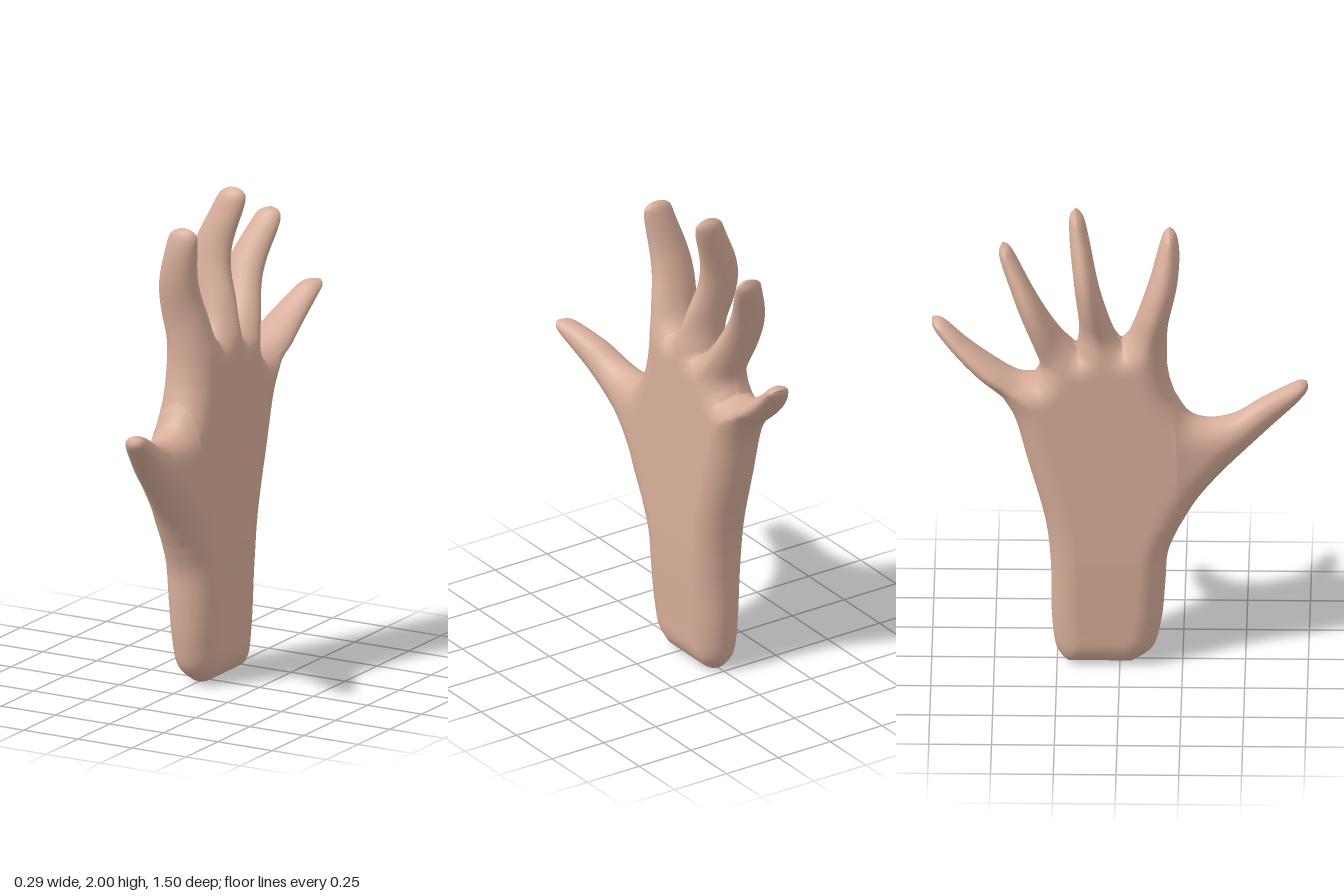
import * as THREE from 'three';
import { mergeVertices } from 'three/addons/utils/BufferGeometryUtils.js';

const COLS = 16, ROWS = 32;      // grid across and along each finger
const ROUND = 0.11, THICK = 0.115; // edge rounding and half thickness of the palm

const lerp = THREE.MathUtils.lerp, smooth = THREE.MathUtils.smoothstep;
const column = (j) => 0.5 - 0.5 * Math.cos((Math.PI * j) / COLS); // denser at both sides
const curve = (pts) => new THREE.CatmullRomCurve3(pts.map(([z, y]) => new THREE.Vector3(0, y, z)));
const point = ([z, y]) => new THREE.Vector3(0, y, z);

// Knuckle line: outer index, three webs, outer little finger (z, y)
const knuckles = [[0.186, 1.34], [0.005, 1.432], [-0.175, 1.41], [-0.345, 1.277], [-0.47, 1.183]];
const thumbLow = [0.235, 0.6], thumbHigh = [0.22, 1.19];

// Each digit: its two side lines from root to tip, tip offset in x, backward dip, tip half thickness
const digits = [
  { // index
    a: [knuckles[0], [0.19, 1.5], [0.23, 1.71], [0.234, 1.85], [0.218, 1.905], [0.196, 1.92]],
    b: [knuckles[1], [0.03, 1.46], [0.11, 1.69], [0.158, 1.86], [0.175, 1.905], [0.196, 1.92]],
    tip: 0.02, dip: 0.03, thin: 0.06,
  },
  { // middle
    a: [knuckles[1], [-0.02, 1.47], [-0.075, 1.66], [-0.127, 1.9], [-0.15, 1.975], [-0.178, 2]],
    b: [knuckles[2], [-0.163, 1.48], [-0.182, 1.7], [-0.202, 1.9], [-0.2, 1.975], [-0.178, 2]],
    tip: 0.03, dip: 0.06, thin: 0.06,
  },
  { // ring
    a: [knuckles[2], [-0.233, 1.475], [-0.34, 1.66], [-0.425, 1.81], [-0.445, 1.836], [-0.471, 1.845]],
    b: [knuckles[3], [-0.319, 1.32], [-0.34, 1.4], [-0.435, 1.66], [-0.483, 1.81], [-0.471, 1.845]],
    tip: 0.03, dip: 0.04, thin: 0.055,
  },
  { // little
    a: [knuckles[3], [-0.39, 1.278], [-0.446, 1.3], [-0.605, 1.405], [-0.715, 1.487], [-0.75, 1.485]],
    b: [knuckles[4], [-0.605, 1.3], [-0.69, 1.385], [-0.737, 1.438], [-0.75, 1.46], [-0.75, 1.485]],
    tip: 0.08, dip: 0, thin: 0.045,
  },
  { // thumb
    a: [thumbLow, [0.31, 0.73], [0.425, 0.865], [0.58, 1.01], [0.715, 1.125], [0.747, 1.165], [0.742, 1.19]],
    b: [thumbHigh, [0.28, 1.1], [0.35, 1.077], [0.456, 1.093], [0.56, 1.146], [0.69, 1.192], [0.72, 1.198], [0.742, 1.19]],
    tip: 0.115, dip: 0.01, thin: 0.042,
  },
];

// Samples a side line, with closer rows towards the tip
function side(pts) {
  const c = curve(pts);
  return Array.from({ length: ROWS + 1 }, (_, i) => c.getPointAt(1 - Math.pow(1 - i / ROWS, 1.6)));
}

// Flat grid of a digit, each node carrying its rounding, thickness and bend
function digitGrid({ a, b, tip, dip, thin }, outline) {
  const A = side(a), B = side(b);
  outline.push(A, B);
  return A.map((p, i) => {
    const v = 1 - Math.pow(1 - i / ROWS, 1.6);
    const half = THREE.MathUtils.clamp(p.distanceTo(B[i]) / 2, 0.035, ROUND);
    const round = lerp(ROUND, half, smooth(v, 0, 0.3));
    const bend = tip * v * v - dip * Math.sin(Math.PI * v) ** 2;
    return Array.from({ length: COLS + 1 }, (_, j) => ({
      p: p.clone().lerp(B[i], column(j)), round, thick: lerp(THICK, thin, v), bend,
    }));
  });
}

// Flat grid of wrist and palm, filled in between its four borders
function palmGrid(outline) {
  const lower = curve([[0.05, 0], [0.13, 0.06], [0.165, 0.18], [0.18, 0.34], [0.192, 0.49], thumbLow]);
  const upper = curve([thumbHigh, [0.198, 1.26], knuckles[0]]);
  const right = curve([[-0.21, 0], [-0.25, 0.05], [-0.27, 0.175], [-0.276, 0.44], [-0.297, 0.626],
    [-0.366, 0.89], [-0.424, 1.1], knuckles[4]]);
  const low = Array.from({ length: 25 }, (_, i) => lower.getPointAt(Math.pow(i / 24, 1.6)));
  const high = Array.from({ length: 9 }, (_, i) => upper.getPointAt(i / 8));
  const root = Array.from({ length: COLS - 1 }, (_, j) => point(thumbLow).lerp(point(thumbHigh), column(j + 1)));
  const L = [...low, ...root, ...high];
  const vs = L.map((p) => p.y / knuckles[0][1]);
  const R = vs.map((v) => right.getPointAt(Math.min(v, 1)));

  const ts = [0], top = [point(knuckles[0])];
  for (let f = 0; f < 4; f++) {
    for (let j = 1; j <= COLS; j++) {
      ts.push((f + column(j)) / 4);
      top.push(point(knuckles[f]).lerp(point(knuckles[f + 1]), column(j)));
    }
  }
  const end = L.length - 1, last = ts.length - 1;
  outline.push(low, high, R, [L[0], R[0]]);

  return L.map((l, i) => ts.map((t, j) => {
    const v = vs[i];
    const blend = (k) => {
      const across = lerp(l[k], R[i][k], t);
      const along = lerp(lerp(L[0][k], R[0][k], t), top[j][k], v);
      const corners = lerp(lerp(L[0][k], R[0][k], t), lerp(L[end][k], R[end][k], t), v);
      return across + along - corners;
    };
    const p = j === 0 ? l.clone() : j === last ? R[i].clone() : i === end ? top[j].clone()
      : new THREE.Vector3(0, blend('y'), blend('z'));
    return { p, round: ROUND, thick: lerp(0.097, THICK, smooth(p.y, 0, 0.55)), bend: 0 };
  }));
}

// Distance from a flat point to the nearest border line
function borderDistance(p, outline) {
  let best = Infinity;
  for (const line of outline) {
    for (let i = 1; i < line.length; i++) {
      const a = line[i - 1], b = line[i];
      const dy = b.y - a.y, dz = b.z - a.z;
      const len = dy * dy + dz * dz || 1;
      const t = Math.min(1, Math.max(0, ((p.y - a.y) * dy + (p.z - a.z) * dz) / len));
      best = Math.min(best, (p.y - a.y - t * dy) ** 2 + (p.z - a.z - t * dz) ** 2);
    }
  }
  return Math.sqrt(best);
}

export function createModel() {
  const group = new THREE.Group();
  group.name = 'openHand';
  const skin = new THREE.MeshStandardMaterial({ color: 0xd8ae9a });
  skin.name = 'skin';

  const outline = [];
  const grids = digits.map((d) => digitGrid(d, outline));
  grids.push(palmGrid(outline));

  // Puff every flat grid out to both sides, rounding towards the border
  const positions = [], index = [];
  for (const grid of grids) {
    const width = grid[0].length;
    for (const dir of [1, -1]) {
      const start = positions.length / 3;
      for (const { p, round, thick, bend } of grid.flat()) {
        const d = borderDistance(p, outline);
        const e = 1 - Math.min(d / round, 1);
        const h = d < 1e-5 ? 0 : thick * Math.sqrt(1 - e * e);
        positions.push(bend + dir * h, p.y, p.z);
      }
      for (let i = 0; i < grid.length - 1; i++) {
        for (let j = 0; j < width - 1; j++) {
          const a = start + i * width + j, b = a + 1, c = b + width, d = a + width;
          if (dir > 0) index.push(a, b, c, a, c, d);
          else index.push(a, c, b, a, d, c);
        }
      }
    }
  }

  // Weld the digits, palm and both halves into one smooth skin
  let geometry = new THREE.BufferGeometry();
  geometry.setAttribute('position', new THREE.Float32BufferAttribute(positions, 3));
  geometry.setIndex(index);
  geometry = mergeVertices(geometry, 1e-4);
  geometry.computeVertexNormals();

  const hand = new THREE.Mesh(geometry, skin);
  hand.name = 'hand';
  group.add(hand);
  return group;
}
